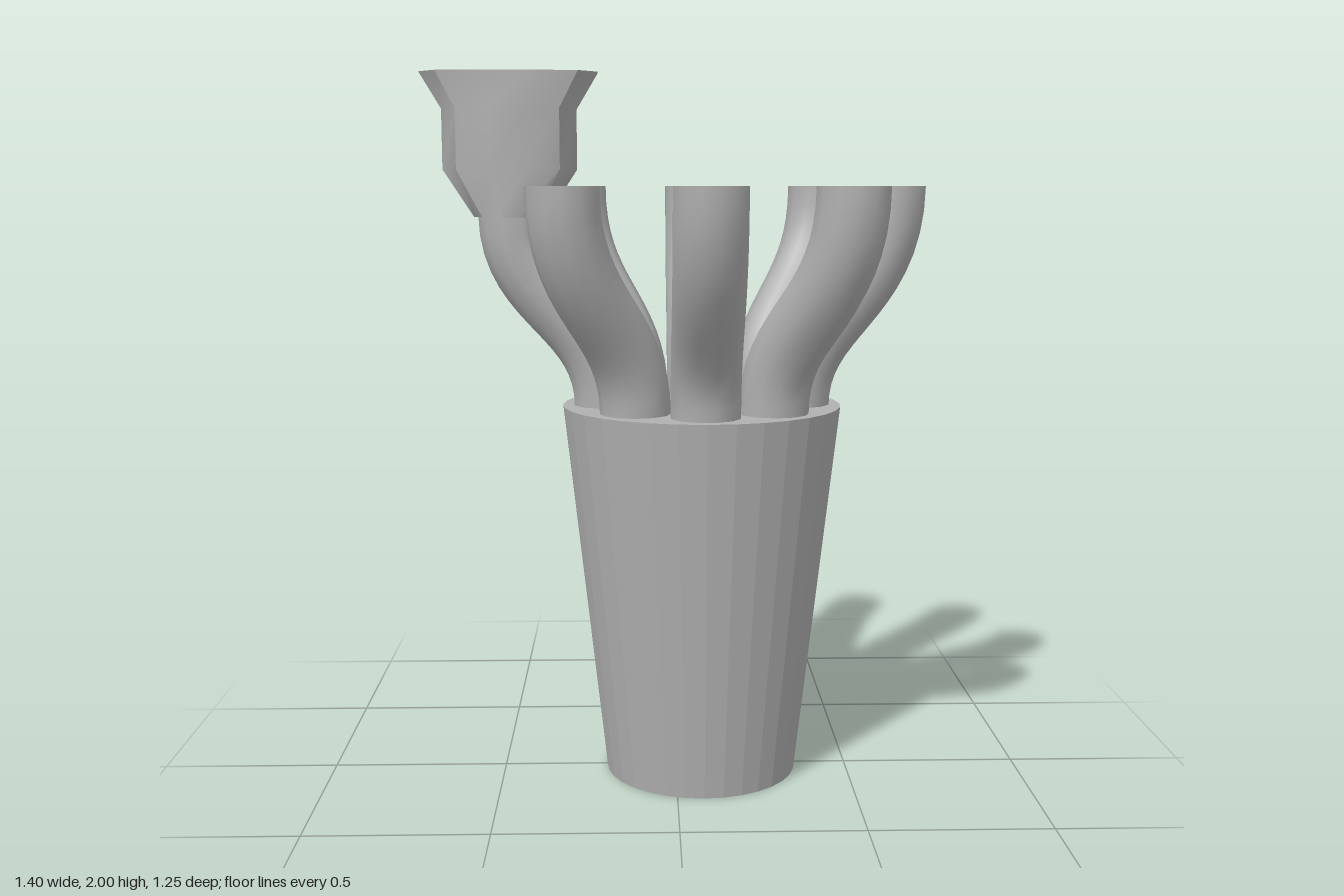
import * as THREE from 'three';
import { toCreasedNormals } from 'three/addons/utils/BufferGeometryUtils.js';

const SIDES = 12, PIPE_R = 0.097, RIM_Y = 1.075;

// Open skin through a list of closed rings (arrays of Vector3)
function loft(rings) {
  const n = rings[0].length, index = [];
  for (let i = 0; i < rings.length - 1; i++) {
    for (let j = 0; j < n; j++) {
      const k = (j + 1) % n, a = i * n + j, b = i * n + k, c = a + n, d = b + n;
      index.push(a, c, b, b, c, d);
    }
  }
  const geometry = new THREE.BufferGeometry().setFromPoints(rings.flat());
  geometry.setIndex(index);
  geometry.computeVertexNormals();
  return geometry;
}

// Twelve-sided pipe that swings outwards along +x and ends upright
function pipeGeometry(topY) {
  const curve = new THREE.CubicBezierCurve3(
    new THREE.Vector3(0.267, RIM_Y - 0.005, 0), new THREE.Vector3(0.267, 1.34, 0),
    new THREE.Vector3(0.53, 1.36, 0), new THREE.Vector3(0.53, topY, 0));
  const rings = [];
  for (let i = 0; i <= 16; i++) {
    const p = curve.getPoint(i / 16), t = curve.getTangent(i / 16);
    const ring = [];
    for (let j = 0; j < SIDES; j++) {
      const a = (j + 0.5) / SIDES * Math.PI * 2;
      const u = Math.cos(a) * PIPE_R;
      ring.push(new THREE.Vector3(p.x + t.y * u, p.y - t.x * u, Math.sin(a) * PIPE_R));
    }
    // Loft winding runs the other way round the ring
    rings.push(ring);
  }
  return loft(rings);
}

// Flattened funnel: a round collar that widens along x only
function funnelGeometry() {
  const levels = [[1.605, 0.1], [1.735, 0.185], [1.9, 0.185], [2, 0.245]];
  const rings = levels.map(([y, half]) => {
    const stretch = (half - 0.1) / 0.145;
    const ring = [];
    for (let j = 0; j < SIDES; j++) {
      const a = (j + 0.5) / SIDES * Math.PI * 2;
      const c = Math.cos(a) / Math.cos(Math.PI / 12), s = Math.sin(a);
      const isCorner = Math.abs(Math.abs(c) - 0.732) < 0.01;
      const x = c * half * (isCorner ? 1 + 0.08 * stretch : 1);
      const z = s * 0.1 * (isCorner ? 1 + 0.18 * stretch : 1);
      ring.push(new THREE.Vector3(x, y, z));
    }
    return ring;
  });
  return toCreasedNormals(loft(rings), 0.6);
}

export function createModel() {
  const grey = new THREE.MeshStandardMaterial({ color: 0xb0b0b0, side: THREE.DoubleSide });
  grey.name = 'plain grey';
  const model = new THREE.Group();
  model.name = 'pipeBucket';

  const add = (name, geometry, parent = model) => {
    const mesh = new THREE.Mesh(geometry, grey);
    mesh.name = name;
    parent.add(mesh);
    return mesh;
  };

  // Everything circular is arranged around the bucket axis
  const body = new THREE.Group();
  body.name = 'body';
  body.position.x = 0.075;
  model.add(body);

  // Tapered bucket wall, open underneath, with facets
  const wall = new THREE.CylinderGeometry(0.395, 0.275, RIM_Y, 32, 1, true);
  wall.translate(0, RIM_Y / 2, 0);
  add('bucketWall', toCreasedNormals(wall, 0.05), body);

  // Lid ring and the disc in its middle
  const ring = new THREE.RingGeometry(0.152, 0.395, 32).rotateX(-Math.PI / 2);
  add('lidRing', ring, body).position.y = RIM_Y;
  const disc = new THREE.CircleGeometry(0.152, 32).rotateX(-Math.PI / 2);
  add('lidDisc', disc, body).position.y = RIM_Y;

  // Eight pipes; the one towards -x is shorter and carries the funnel
  const longPipe = pipeGeometry(1.69), shortPipe = pipeGeometry(1.61);
  for (let i = 0; i < 8; i++) {
    const pipe = add(i === 4 ? 'funnelPipe' : 'pipe' + (i + 1), i === 4 ? shortPipe : longPipe, body);
    pipe.rotation.y = i * Math.PI / 4;
  }

  add('funnel', funnelGeometry()).position.x = -0.46;
  return model;
}
